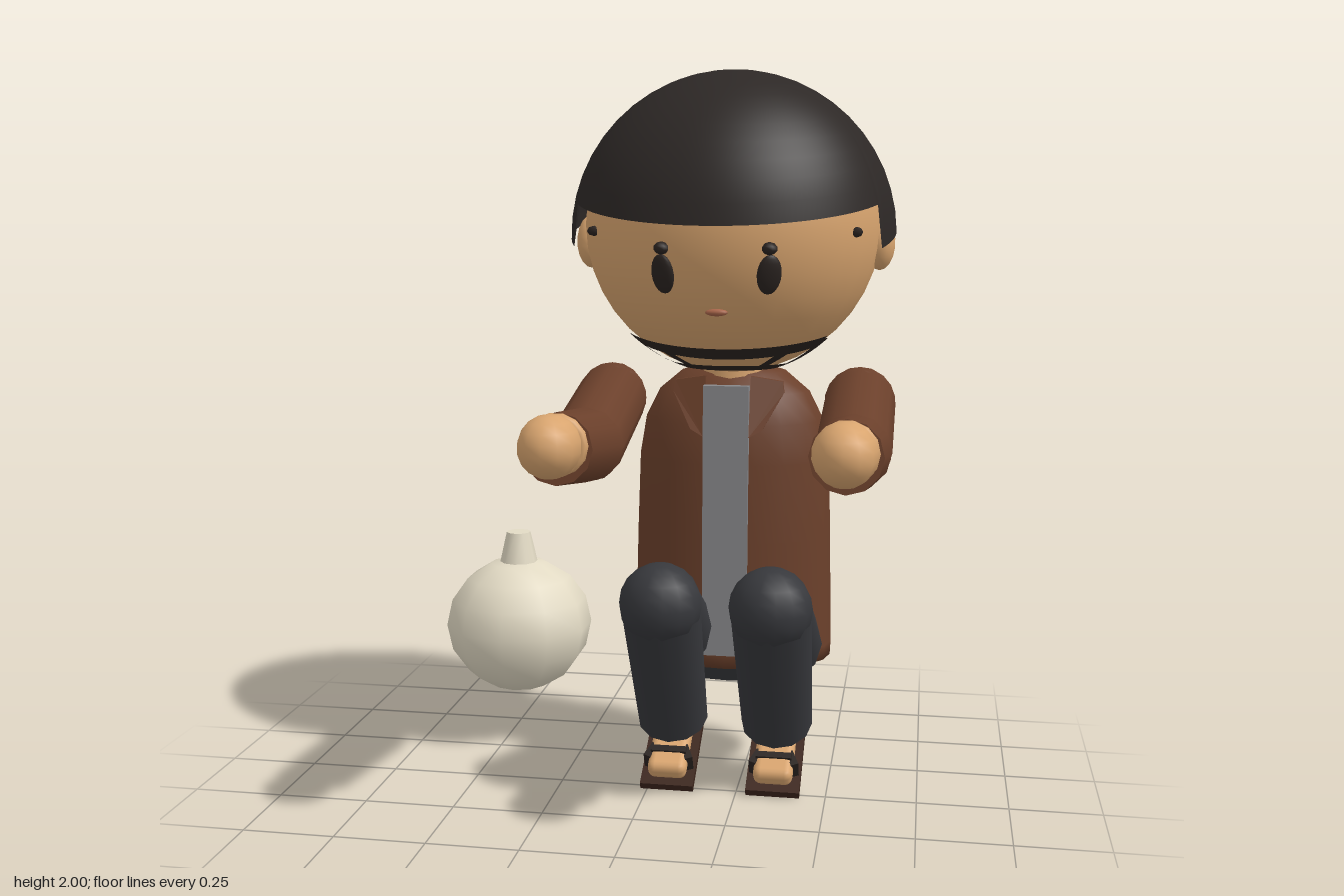
import * as THREE from 'three';
import { ParametricGeometry } from 'three/addons/geometries/ParametricGeometry.js';
import { RoundedBoxGeometry } from 'three/addons/geometries/RoundedBoxGeometry.js';

const mat = (color, side = THREE.FrontSide) => new THREE.MeshStandardMaterial({ color, side });
const SKIN = mat(0xd9a56f), HAIR = mat(0x2d2826, THREE.DoubleSide), JACKET = mat(0x6b402b, THREE.DoubleSide);
const TROUSERS = mat(0x37383c), SHIRT = mat(0x87878a), DARK = mat(0x2a2320, THREE.DoubleSide);
const SOLE = mat(0x3c251c), GOURD = mat(0xe2dac4), CORD = mat(0x9a7650), LIP = mat(0xa8654a);
const V = (x, y, z) => new THREE.Vector3(x, y, z);
const HEAD = V(0, 1.58, -0.195), HEAD_R = 0.41;

function add(parent, name, geometry, material, x = 0, y = 0, z = 0) {
  const mesh = new THREE.Mesh(geometry, material);
  mesh.name = name;
  mesh.position.set(x, y, z);
  parent.add(mesh);
  return mesh;
}

function ball(parent, name, material, p, rx, ry = rx, rz = rx, seg = 16) {
  const mesh = add(parent, name, new THREE.SphereGeometry(1, seg, Math.ceil(seg * 0.7)), material, p.x, p.y, p.z);
  mesh.scale.set(rx, ry, rz);
  return mesh;
}

// Tapered cylinder from a to b
function limb(parent, name, material, a, b, ra, rb) {
  const dir = b.clone().sub(a);
  const mesh = add(parent, name, new THREE.CylinderGeometry(rb, ra, dir.length(), 12), material);
  mesh.position.copy(a).add(b).multiplyScalar(0.5);
  mesh.quaternion.setFromUnitVectors(V(0, 1, 0), dir.normalize());
  return mesh;
}

// Point just above the head's surface at a height y and an angle from the front
function onHead(angle, y, lift = 0.008) {
  const r = Math.sqrt(Math.max(0, (HEAD_R + lift) ** 2 - (y - HEAD.y) ** 2));
  return V(r * Math.sin(angle), y, HEAD.z + r * Math.cos(angle));
}

function patch(parent, name, material, fn, nu, nv) {
  const geometry = new ParametricGeometry((u, v, t) => t.copy(fn(u, v)), nu, nv);
  geometry.computeVertexNormals();
  return add(parent, name, geometry, material);
}

// Height of the stepped hairline at an angle (degrees) from the front
function hairline(deg) {
  const d = Math.abs(deg), ramp = (a, b, y0, y1) => y0 + (y1 - y0) * (d - a) / (b - a);
  if (d < 67) return 1.585 + 0.086 * (1 - Math.cos(d * Math.PI / 180));
  if (d < 113) return ramp(67, 113, 1.52, 1.6);
  if (d < 155) return ramp(113, 155, 1.48, 1.535);
  return d < 173 ? 1.425 : 1.53;
}

function buildHead(body) {
  const head = new THREE.Group();
  head.name = 'head';
  body.add(head);
  ball(head, 'face', SKIN, HEAD, HEAD_R, HEAD_R, HEAD_R, 28);

  // Hair shell reaching from the crown to the hairline
  patch(head, 'hair', HAIR, (u, v) => {
    const deg = u * 360 - 180, a = deg * Math.PI / 180;
    const s = v * Math.acos((hairline(deg) - 1.55) / 0.45);
    return V(0.45 * Math.sin(s) * Math.sin(a), 1.55 + 0.45 * Math.cos(s), -0.193 + 0.44 * Math.sin(s) * Math.cos(a));
  }, 180, 12);

  for (const s of [-1, 1]) {
    ball(head, 'ear', SKIN, V(s * 0.405, 1.53, -0.21), 0.042, 0.075, 0.062, 12);
    const eye = ball(head, 'eye', DARK, onHead(s * 0.36, 1.46, 0), 0.033, 0.053, 0.014, 14);
    eye.rotation.set(0.25, s * 0.36, 0, 'YXZ');
    // Small pointed brow marks
    ball(head, 'innerBrow', DARK, onHead(s * 0.35, 1.527, 0), 0.021, 0.017, 0.02, 6);
    ball(head, 'outerBrow', DARK, onHead(s * 1.03, 1.565, 0), 0.02, 0.014, 0.014, 5);
  }
  ball(head, 'mouth', LIP, onHead(0, 1.36, 0), 0.03, 0.01, 0.012, 10);

  // Open beard frame: two bands along the jaw joined by slanted struts
  patch(head, 'beardUpper', DARK, (u, v) => {
    const a = (u * 2 - 1) * 1.2;
    return onHead(a, 1.24 + 0.027 * (a / 1.2) ** 2 + 0.032 * (v - 0.5));
  }, 24, 2);
  patch(head, 'beardLower', DARK, (u, v) => onHead((u * 2 - 1) * 1.2, 1.185 + 0.017 * v), 24, 2);
  for (const s of [-1, 1]) {
    for (const [a0, a1] of [[1.2, 1.2], [0.6, 0.75]]) {
      patch(head, 'beardStrut', DARK, (u, v) =>
        onHead(s * (a0 + (a1 - a0) * v + (u - 0.5) * 0.16), 1.19 + (a0 > 1 ? 0.085 : 0.06) * v), 2, 6);
    }
  }
}

function buildTorso(body) {
  const profile = [[0, 0.34], [0.285, 0.34], [0.287, 0.38], [0.28, 0.7], [0.273, 0.92], [0.255, 1.03],
    [0.215, 1.11], [0.15, 1.165], [0.1, 1.18]].map(([x, y]) => new THREE.Vector2(x, y));
  const jacket = add(body, 'jacket', new THREE.LatheGeometry(profile, 20), JACKET, 0, 0, -0.257);
  jacket.scale.z = 0.71;
  const hips = add(body, 'hips', new THREE.CylinderGeometry(0.275, 0.2, 0.065, 18), TROUSERS, 0, 0.317, -0.265);
  hips.scale.z = 0.7;
  add(body, 'neck', new THREE.CylinderGeometry(0.095, 0.1, 0.08, 14), SKIN, 0, 1.18, -0.24);
  add(body, 'shirtFront', new THREE.BoxGeometry(0.126, 0.765, 0.03), SHIRT, 0, 0.76, -0.068);

  // Lapels: thin triangles folded over the chest
  const lapel = new THREE.Shape([[0.063, 1.165], [0.15, 1.15], [0.155, 1.12], [0.1, 1.02], [0.063, 1.0]]
    .map(([x, y]) => new THREE.Vector2(x, y)));
  for (const s of [-1, 1]) {
    const geometry = new THREE.ExtrudeGeometry(lapel, { depth: 0.014, bevelEnabled: false });
    const p = geometry.attributes.position;
    for (let i = 0; i < p.count; i++) {
      p.setZ(i, p.getZ(i) - 0.07 - 0.35 * Math.max(0, p.getY(i) - 1.02) - 0.25 * (p.getX(i) - 0.063));
    }
    geometry.computeVertexNormals();
    add(body, 'lapel', geometry, JACKET).scale.x = s;
  }
}

function buildArm(body, s) {
  const arm = new THREE.Group();
  arm.name = s > 0 ? 'leftArm' : 'rightArm';
  body.add(arm);
  const x = s * 0.357;
  const shoulder = V(x, 1.08, -0.26), elbow = V(x, 0.995, 0.1), wrist = V(x, 1.04, 0.455);
  ball(arm, 'shoulder', JACKET, shoulder, 0.1, 0.1, 0.09, 12);
  limb(arm, 'upperSleeve', JACKET, shoulder, elbow, 0.1, 0.102);
  ball(arm, 'elbow', JACKET, elbow, 0.1, 0.1, 0.08, 12);
  limb(arm, 'lowerSleeve', JACKET, elbow, wrist, 0.102, 0.092);
  add(arm, 'wristBand', new THREE.TorusGeometry(0.066, 0.016, 8, 14), SKIN, x, 1.05, 0.458);
  ball(arm, 'hand', SKIN, V(x, 1.058, 0.53), 0.08, 0.08, 0.097, 12);
}

function buildLeg(body, s) {
  const leg = new THREE.Group();
  leg.name = s > 0 ? 'leftLeg' : 'rightLeg';
  body.add(leg);
  const x = s * 0.149;
  const hip = V(x, 0.39, -0.18), knee = V(x, 0.572, 0.138), ankle = V(x, 0.185, -0.085);
  limb(leg, 'thigh', TROUSERS, hip, knee, 0.118, 0.108);
  ball(leg, 'knee', TROUSERS, knee, 0.113, 0.113, 0.113, 14);
  limb(leg, 'shin', TROUSERS, knee, ankle, 0.11, 0.1);

  // Sandal tilted with the toes down
  const foot = new THREE.Group();
  foot.name = 'sandalFoot';
  foot.position.set(x, 0.078, -0.085);
  foot.rotation.x = 0.52;
  leg.add(foot);
  add(foot, 'sole', new THREE.BoxGeometry(0.15, 0.022, 0.265), SOLE);
  add(foot, 'foot', new RoundedBoxGeometry(0.11, 0.055, 0.235, 2, 0.022), SKIN, 0, 0.038, 0);
  add(foot, 'heel', new THREE.CylinderGeometry(0.045, 0.05, 0.08, 12), SKIN, 0, 0.075, -0.04);
  for (const k of [-1, 1]) {
    const strap = add(foot, 'strap', new THREE.BoxGeometry(0.022, 0.05, 0.05), DARK, k * 0.05, 0.036, 0.05);
    strap.rotation.y = k * 0.4;
  }
  add(foot, 'toeStrap', new THREE.BoxGeometry(0.1, 0.012, 0.02), DARK, 0, 0.065, 0.05);
}

function buildGourd(group) {
  const gourd = new THREE.Group();
  gourd.name = 'gourd';
  gourd.position.set(-0.465, 0, -0.357);
  group.add(gourd);
  const bulb = [];
  for (let i = 0; i <= 8; i++) {
    const a = Math.PI * i / 8;
    bulb.push(new THREE.Vector2(0.221 * Math.sin(a), 0.36 - 0.205 * Math.cos(a)));
  }
  add(gourd, 'gourdBulb', new THREE.LatheGeometry(bulb, 10), GOURD);
  add(gourd, 'gourdNeck', new THREE.CylinderGeometry(0.036, 0.062, 0.115, 10), GOURD, 0, 0.588, 0);
  const ring = add(gourd, 'gourdCord', new THREE.TorusGeometry(0.06, 0.009, 6, 8), CORD, 0, 0.542, 0);
  ring.rotation.x = Math.PI / 2;
}

export function createModel() {
  const model = new THREE.Group();
  model.name = 'seatedFigureWithGourd';
  const body = new THREE.Group();
  body.name = 'figure';
  body.position.x = 0.205;
  model.add(body);
  buildHead(body);
  buildTorso(body);
  for (const s of [-1, 1]) {
    buildArm(body, s);
    buildLeg(body, s);
  }
  buildGourd(model);
  return model;
}
